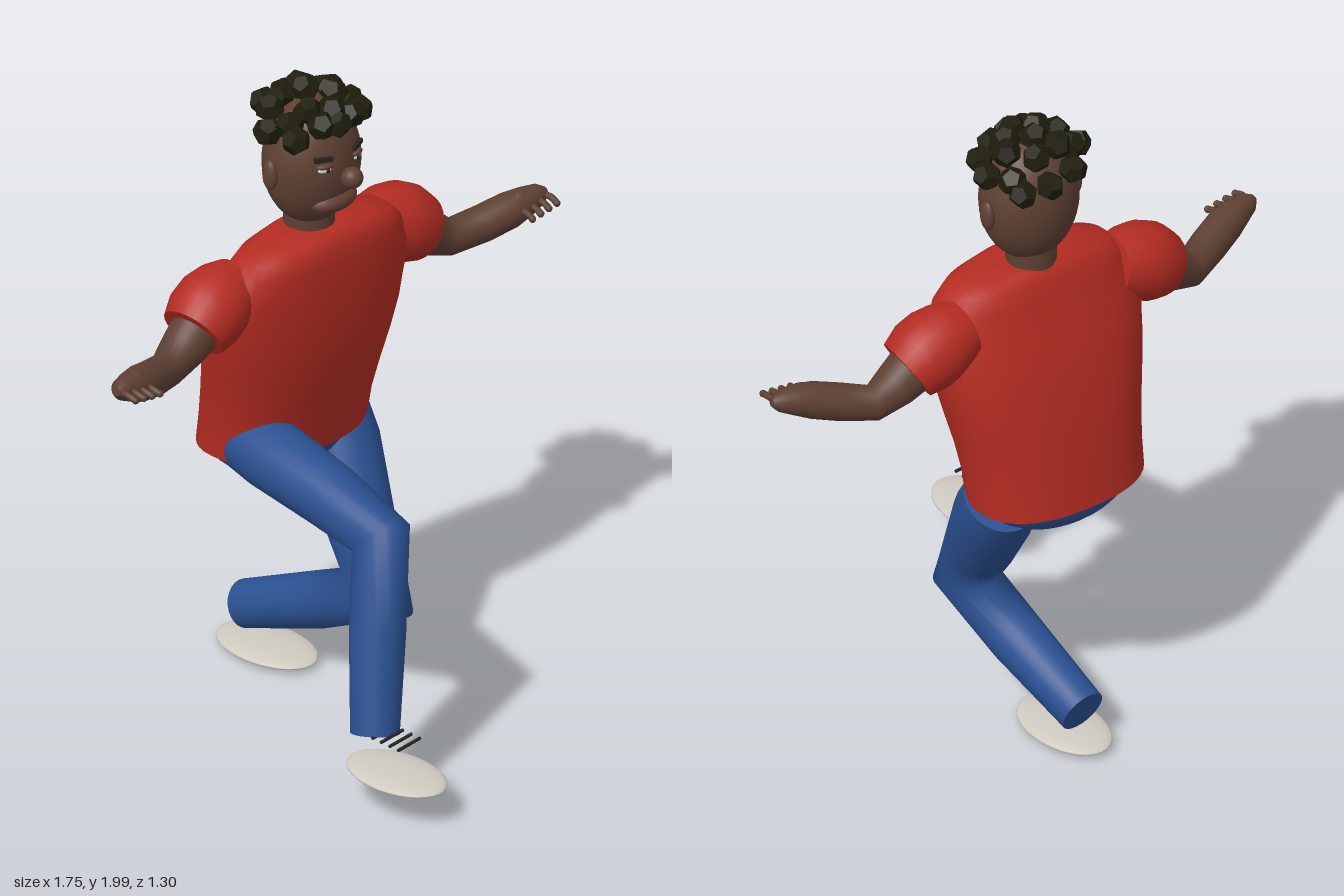
import * as THREE from 'three';

const mat = (name, color, side = THREE.FrontSide) => {
  const m = new THREE.MeshStandardMaterial({ color, side });
  m.name = name;
  return m;
};

// Skin a list of closed rings (counter-clockwise around the travel direction), with sharp flat caps
function loft(rings) {
  const n = rings[0].length, last = rings.length - 1, pos = [], idx = [];
  rings.forEach(r => r.forEach(p => pos.push(p.x, p.y, p.z)));
  for (let i = 0; i < last; i++) for (let j = 0; j < n; j++) {
    const a = i * n + j, b = i * n + (j + 1) % n;
    idx.push(a, b, a + n, b, b + n, a + n);
  }
  for (const [r, end] of [[rings[0], false], [rings[last], true]]) {
    const base = pos.length / 3;
    const c = r.reduce((s, p) => s.add(p), new THREE.Vector3()).divideScalar(n);
    [c, ...r].forEach(p => pos.push(p.x, p.y, p.z));
    for (let j = 0; j < n; j++) {
      const a = base + 1 + j, b = base + 1 + (j + 1) % n;
      idx.push(base, end ? a : b, end ? b : a);
    }
  }
  const g = new THREE.BufferGeometry();
  g.setAttribute('position', new THREE.Float32BufferAttribute(pos, 3));
  g.setIndex(idx);
  g.computeVertexNormals();
  return g;
}

// Round limb through stations [x, y, z, radius], mitred at the bends
function limb(stations, side, n = 24) {
  const pts = stations.map(s => new THREE.Vector3(s[0], s[1], s[2]));
  const dirs = pts.slice(1).map((p, i) => p.clone().sub(pts[i]).normalize());
  return loft(pts.map((p, i) => {
    const a = dirs[Math.max(i - 1, 0)], b = dirs[Math.min(i, dirs.length - 1)];
    const t = a.clone().add(b).normalize();
    const u = t.clone().cross(side).normalize(), w = t.clone().cross(u);
    const r = stations[i][3], stretch = 1 / Math.sqrt((1 + a.dot(b)) / 2);
    return Array.from({ length: n }, (_, j) => {
      const q = j / n * Math.PI * 2;
      return p.clone().addScaledVector(u, r * stretch * Math.cos(q)).addScaledVector(w, r * Math.sin(q));
    });
  }));
}

export function createModel() {
  const model = new THREE.Group();
  model.name = 'crouchingFigure';
  const skin = mat('skin', 0x5e4033), lips = mat('lips', 0x664036), shirt = mat('shirtRed', 0xb42c22);
  const denim = mat('denim', 0x2b5091), hairMat = mat('hair', 0x1e1d0c), shoeMat = mat('shoe', 0xcfcac0);
  const dark = mat('dark', 0x2a2522), white = mat('eyeWhite', 0xd8d8d4);
  const X = new THREE.Vector3(1, 0, 0), Z = new THREE.Vector3(0, 0, 1);

  const add = (name, geo, material, x = 0, y = 0, z = 0) => {
    const m = new THREE.Mesh(geo, material);
    m.name = name;
    m.position.set(x, y, z);
    model.add(m);
    return m;
  };
  const ball = (name, material, x, y, z, rx, ry, rz, seg = 24) => {
    const m = add(name, new THREE.SphereGeometry(1, seg, Math.round(seg * 0.67)), material, x, y, z);
    m.scale.set(rx, ry, rz);
    return m;
  };

  // Shirt body: [y, half width, front z, back z]
  const body = [
    [0.81, 0.28, -0.18, -0.545], [0.9, 0.284, -0.165, -0.53], [1.0, 0.298, -0.14, -0.512],
    [1.1, 0.32, -0.118, -0.49], [1.2, 0.342, -0.104, -0.463], [1.3, 0.356, -0.1, -0.43],
    [1.38, 0.35, -0.1, -0.39], [1.45, 0.325, -0.102, -0.365], [1.495, 0.28, -0.112, -0.345],
    [1.515, 0.19, -0.125, -0.33], [1.526, 0.12, -0.14, -0.315],
  ];
  const soft = v => Math.sign(v) * Math.abs(v) ** 0.85;
  add('shirtBody', loft(body.map(([y, w, f, b]) => Array.from({ length: 40 }, (_, j) => {
    const q = j / 40 * Math.PI * 2;
    return new THREE.Vector3(w * soft(Math.sin(q)), y, (f + b) / 2 + (f - b) / 2 * soft(Math.cos(q)));
  }))), shirt);

  // Hips
  ball('hips', denim, 0, 0.83, -0.365, 0.255, 0.14, 0.17, 32);

  // Legs
  add('rightLeg', limb([
    [-0.16, 0.85, -0.36, 0.105], [-0.2, 0.85, -0.2, 0.106], [-0.212, 0.815, 0.05, 0.098],
    [-0.22, 0.762, 0.268, 0.086], [-0.285, 0.5, 0.32, 0.083], [-0.355, 0.215, 0.38, 0.072],
  ], X), denim);
  add('leftLeg', limb([
    [0.175, 0.81, -0.345, 0.115], [0.165, 0.72, -0.29, 0.12], [0.125, 0.53, -0.17, 0.105],
    [0.085, 0.345, -0.052, 0.084], [0.07, 0.24, -0.28, 0.085], [0.05, 0.127, -0.562, 0.072],
  ], X), denim);

  // Flat shoes and laces
  ball('rightShoe', shoeMat, -0.36, 0.12, 0.475, 0.11, 0.021, 0.176, 32);
  ball('leftShoe', shoeMat, 0.045, 0.028, -0.468, 0.11, 0.021, 0.18, 32);
  for (let i = 0; i < 4; i++) {
    const lace = add('shoeLace', new THREE.CylinderGeometry(0.005, 0.005, 0.1, 8), dark, -0.36, 0.235, 0.42 + i * 0.035);
    lace.rotation.set(0, 0.1, Math.PI / 2);
  }

  // Sleeves, arms, hands
  for (const s of [1, -1]) {
    const side = s > 0 ? 'left' : 'right';
    const flip = list => list.map(([x, ...rest]) => [x * s, ...rest]);
    add(side + 'Sleeve', limb(flip([
      [0.27, 1.4, -0.275, 0.09], [0.32, 1.39, -0.275, 0.107], [0.365, 1.375, -0.273, 0.117],
      [0.41, 1.352, -0.268, 0.117], [0.458, 1.322, -0.262, 0.1],
    ]), Z), shirt);
    add(side + 'Arm', limb(flip([
      [0.42, 1.34, -0.267, 0.08], [0.5, 1.288, -0.262, 0.068], [0.575, 1.25, -0.253, 0.052],
      [0.67, 1.272, -0.215, 0.056], [0.75, 1.296, -0.187, 0.055], [0.8, 1.31, -0.174, 0.046],
      [0.85, 1.32, -0.165, 0.032], [0.873, 1.323, -0.161, 0.014],
    ]), Z), skin);
    ball(side + 'Thumb', skin, 0.785 * s, 1.338, -0.17, 0.035, 0.017, 0.022, 16);
    for (let i = 0; i < 4; i++) {
      const x = (0.757 + i * 0.033) * s, y = 1.298 + i * 0.005;
      const curve = new THREE.CatmullRomCurve3([[0, 0.008, -0.165], [0.004 * s, 0.008, -0.125], [0, 0, -0.095]]
        .map(([dx, dy, z]) => new THREE.Vector3(x + dx, y + dy, z)));
      add(side + 'Finger', new THREE.TubeGeometry(curve, 8, 0.01, 8), skin);
      ball(side + 'Fingertip', skin, x, y, -0.097, 0.011, 0.011, 0.011, 10);
    }

    // Ears, eyes and brows
    ball(side + 'Ear', skin, 0.158 * s, 1.73, -0.25, 0.018, 0.048, 0.027);
    ball(side + 'Eye', white, 0.066 * s, 1.761, -0.119, 0.021, 0.009, 0.008, 16).rotation.y = 0.4 * s;
    ball(side + 'Pupil', dark, 0.06 * s, 1.761, -0.111, 0.007, 0.008, 0.004, 12);
    ball(side + 'Eyelid', skin, 0.066 * s, 1.773, -0.119, 0.026, 0.009, 0.013, 16).rotation.y = 0.4 * s;
    const brow = add(side + 'Brow', new THREE.BoxGeometry(0.056, 0.014, 0.014), dark, 0.068 * s, 1.795, -0.122);
    brow.rotation.set(0, 0.4 * s, 0.06 * s);
  }

  // Head and neck
  add('neck', new THREE.CylinderGeometry(0.075, 0.075, 0.13, 28), skin, 0, 1.565, -0.25);
  ball('head', skin, 0, 1.735, -0.24, 0.153, 0.2, 0.136, 40);
  ball('nose', skin, 0, 1.73, -0.073, 0.033, 0.033, 0.033);
  ball('mouth', lips, 0, 1.635, -0.152, 0.085, 0.038, 0.052);

  // Curls: x, z pairs laid over the crown
  const curls = [
    -0.05, -0.385, 0.045, -0.4, 0.12, -0.37, -0.1, -0.31, -0.045, -0.315, 0.04, -0.328, 0.125, -0.325,
    -0.155, -0.265, 0, -0.265, 0.09, -0.25, 0.155, -0.243, -0.118, -0.21, -0.06, -0.195, -0.132, -0.17,
    0.06, -0.21, 0.125, -0.172, 0, -0.16, -0.055, -0.143, 0.065, -0.143, -0.01, -0.125,
  ];
  for (let i = 0; i < curls.length; i += 2) {
    const x = curls[i], z = curls[i + 1], d = (x * x + (z + 0.255) ** 2) / 0.0256;
    const geo = new THREE.DodecahedronGeometry(0.044);
    const curl = add('hairCurl', geo, hairMat, x, Math.max(1.855, 1.95 - 0.09 * d), z);
    curl.rotation.set(i * 0.7, i * 1.1, i * 0.4);
  }
  return model;
}
